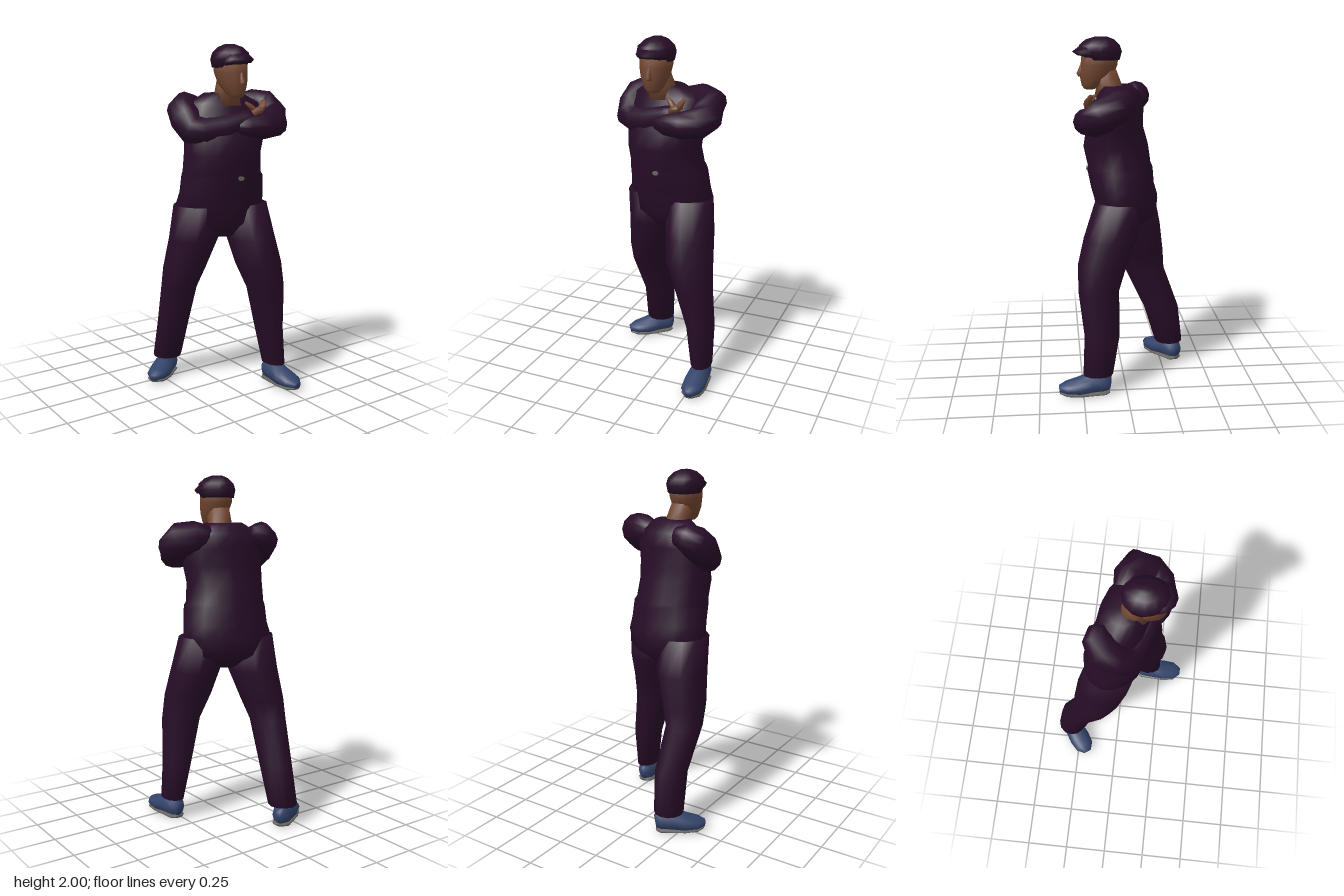
import * as THREE from 'three';

const mat = (name, color) => Object.assign(new THREE.MeshStandardMaterial({ color }), { name });

// Skin elliptical rings [x, y, z, halfWidth, halfDepth] into a closed smooth solid.
// Rings lie flat (turned by yaw), or square to the path when along is true.
function loft(rings, { yaw = 0, along = false, seg = 12, floor = -1 } = {}) {
  const pos = [], idx = [], n = rings.length;
  const centre = rings.map(r => new THREE.Vector3(r[0], r[1], r[2]));
  const up = new THREE.Vector3(0, 1, 0);
  const put = p => pos.push(p.x, Math.max(p.y, floor), p.z);
  rings.forEach((r, i) => {
    let t = up, u = new THREE.Vector3(Math.cos(yaw), 0, Math.sin(yaw));
    if (along) {
      t = centre[Math.min(i + 1, n - 1)].clone().sub(centre[Math.max(i - 1, 0)]).normalize();
      u = new THREE.Vector3().crossVectors(up, t).normalize();
    }
    const v = new THREE.Vector3().crossVectors(u, t);
    for (let k = 0; k < seg; k++) {
      const a = k / seg * Math.PI * 2;
      put(centre[i].clone().addScaledVector(u, r[3] * Math.cos(a)).addScaledVector(v, r[4] * Math.sin(a)));
    }
  });
  put(centre[0]);
  put(centre[n - 1]);
  for (let k = 0; k < seg; k++) {
    const m = (k + 1) % seg, last = (n - 1) * seg;
    for (let i = 0; i < n - 1; i++) {
      const a = i * seg + k, b = i * seg + m;
      idx.push(a, a + seg, b, b, a + seg, b + seg);
    }
    idx.push(n * seg, k, m, n * seg + 1, last + m, last + k);
  }
  const g = new THREE.BufferGeometry();
  g.setAttribute('position', new THREE.Float32BufferAttribute(pos, 3));
  g.setIndex(idx);
  g.computeVertexNormals();
  return g;
}

export function createModel() {
  const model = new THREE.Group();
  const cloth = mat('plum cloth', 0x270d27);
  const skin = mat('skin', 0x70452f);
  const leather = mat('blue leather', 0x33436a);
  const grey = mat('grey trim', 0x66645f);
  const add = (name, geometry, material) => {
    const m = new THREE.Mesh(geometry, material);
    m.name = name;
    model.add(m);
    return m;
  };
  const yaw = 0.25;

  // Jacket and hips, turned slightly to the right
  add('torso', loft([
    [0.01, 0.92, 0, 0.08, 0.09], [0.01, 1.0, -0.02, 0.23, 0.17], [0.01, 1.1, -0.02, 0.262, 0.18],
    [0.01, 1.17, 0.0, 0.25, 0.18], [0.005, 1.27, 0.015, 0.24, 0.187], [0, 1.29, 0.018, 0.23, 0.18],
    [-0.01, 1.4, 0.038, 0.222, 0.185], [0, 1.5, 0.045, 0.235, 0.16], [0.005, 1.6, 0.025, 0.24, 0.14],
    [0.01, 1.68, 0.02, 0.21, 0.12], [0, 1.735, 0.03, 0.11, 0.085],
  ], { yaw, seg: 16 }), cloth);

  const buckle = add('buckle', new THREE.CylinderGeometry(0.018, 0.018, 0.009, 10).rotateX(Math.PI / 2), grey);
  buckle.scale.y = 0.7;
  buckle.position.set(0.005, 1.27, 0.203);
  buckle.rotation.y = -0.15;

  // Trouser legs in a wide stride
  add('rightLeg', loft([
    [-0.185, 0.12, -0.305, 0.085, 0.085], [-0.17, 0.35, -0.255, 0.09, 0.105], [-0.19, 0.6, -0.15, 0.1, 0.12],
    [-0.17, 0.72, -0.12, 0.12, 0.14], [-0.13, 0.9, -0.08, 0.14, 0.155], [-0.12, 1.1, -0.045, 0.14, 0.15],
  ]), cloth);
  add('leftLeg', loft([
    [0.28, 0.12, 0.165, 0.06, 0.085], [0.26, 0.35, 0.14, 0.08, 0.1], [0.22, 0.6, 0.155, 0.11, 0.115],
    [0.185, 0.75, 0.13, 0.135, 0.14], [0.165, 0.9, 0.08, 0.138, 0.155], [0.145, 1.1, 0.035, 0.135, 0.135],
  ]), cloth);

  // Shoes: profile stations along heel to toe, over a thin grey sole
  const shoe = (name, heel, toe) => {
    const at = (f, y, w, h) => [
      heel[0] + (toe[0] - heel[0]) * f, y, heel[1] + (toe[1] - heel[1]) * f, w, h];
    add(name, loft([
      at(0, 0.06, 0.03, 0.04), at(0.1, 0.065, 0.052, 0.065), at(0.35, 0.065, 0.06, 0.068),
      at(0.6, 0.05, 0.068, 0.052), at(0.85, 0.045, 0.06, 0.035), at(1, 0.04, 0.026, 0.02),
    ], { along: true, floor: 0.022 }), leather);
    add(name + 'Sole', loft([
      at(0.02, 0.015, 0.03, 0.01), at(0.1, 0.013, 0.052, 0.013), at(0.6, 0.013, 0.066, 0.013),
      at(0.85, 0.016, 0.058, 0.012), at(0.98, 0.022, 0.026, 0.01),
    ], { along: true }), grey);
  };
  shoe('rightShoe', [-0.125, -0.355], [-0.355, -0.185]);
  shoe('leftShoe', [0.275, 0.095], [0.285, 0.39]);

  // Arms folded in front of the chest
  add('rightArm', loft([
    [-0.1, 1.67, -0.1, 0.05, 0.05], [-0.16, 1.665, -0.095, 0.08, 0.08], [-0.2, 1.64, -0.07, 0.092, 0.092],
    [-0.215, 1.59, -0.01, 0.09, 0.095], [-0.21, 1.54, 0.04, 0.085, 0.085], [-0.15, 1.53, 0.08, 0.075, 0.08],
    [-0.05, 1.55, 0.125, 0.07, 0.075], [0.06, 1.59, 0.16, 0.055, 0.055], [0.1, 1.61, 0.175, 0.04, 0.04],
  ], { along: true }), cloth);
  add('leftArm', loft([
    [0.12, 1.665, 0.0, 0.05, 0.06], [0.2, 1.665, 0.02, 0.08, 0.085], [0.265, 1.65, 0.055, 0.09, 0.098],
    [0.27, 1.6, 0.13, 0.09, 0.095], [0.235, 1.565, 0.18, 0.09, 0.085], [0.16, 1.555, 0.205, 0.08, 0.075],
    [0.06, 1.55, 0.195, 0.055, 0.06], [0.0, 1.55, 0.18, 0.03, 0.035],
  ], { along: true }), cloth);

  // Right hand gripping the left arm
  add('palm', loft([
    [0.08, 1.6, 0.17, 0.03, 0.025], [0.115, 1.635, 0.19, 0.035, 0.022], [0.145, 1.65, 0.2, 0.03, 0.018],
  ], { along: true, seg: 8 }), skin);
  add('fingers', loft([
    [0.125, 1.63, 0.2, 0.022, 0.018], [0.15, 1.665, 0.2, 0.024, 0.016], [0.17, 1.695, 0.185, 0.014, 0.01],
  ], { along: true, seg: 8 }), skin);
  add('thumb', loft([
    [0.12, 1.63, 0.19, 0.018, 0.016], [0.085, 1.665, 0.175, 0.016, 0.014], [0.06, 1.685, 0.16, 0.009, 0.008],
  ], { along: true, seg: 8 }), skin);

  // Neck, head and nose
  add('neck', loft([
    [0.0, 1.67, 0.075, 0.08, 0.085], [-0.005, 1.74, 0.075, 0.068, 0.07], [-0.015, 1.82, 0.105, 0.06, 0.07],
  ]), skin);
  add('head', loft([
    [-0.012, 1.715, 0.185, 0.03, 0.028], [-0.014, 1.735, 0.17, 0.05, 0.058], [-0.016, 1.79, 0.145, 0.075, 0.095],
    [-0.018, 1.85, 0.13, 0.088, 0.103], [-0.018, 1.91, 0.125, 0.09, 0.102],
  ]), skin);
  add('nose', loft([
    [-0.015, 1.785, 0.235, 0.014, 0.012], [-0.015, 1.8, 0.238, 0.016, 0.019], [-0.017, 1.85, 0.225, 0.008, 0.01],
  ], { seg: 8 }), skin);

  // Cap with a short visor
  add('cap', loft([
    [-0.018, 1.875, 0.115, 0.092, 0.1], [-0.018, 1.92, 0.125, 0.104, 0.122], [-0.018, 1.955, 0.128, 0.095, 0.113],
    [-0.018, 1.985, 0.125, 0.062, 0.08], [-0.018, 2.0, 0.12, 0.025, 0.035],
  ]), cloth);
  add('visor', loft([
    [-0.016, 1.9, 0.18, 0.085, 0.07], [-0.014, 1.92, 0.19, 0.088, 0.09], [-0.016, 1.945, 0.17, 0.075, 0.075],
  ]), cloth);

  return model;
}
